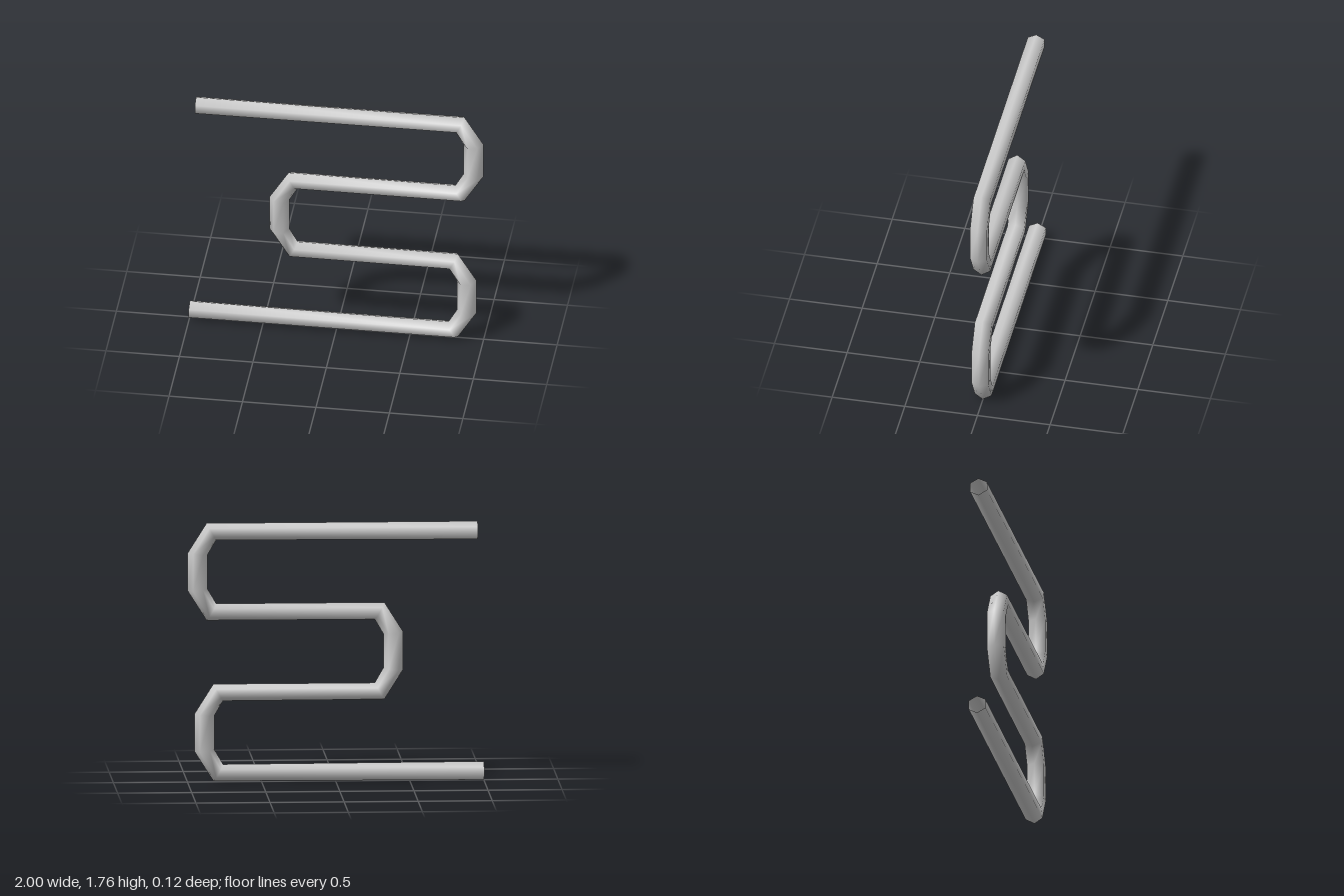
import * as THREE from 'three';

const HALF_DEPTH = 0.058;

// Mitred sections of the pipe: [outer x, outer y, inner x, inner y]
// One U-bend, from its upper run to its lower run; dir is +1 for right, -1 for left
function uBend(x, top, bottom, dir) {
  const section = (ox, oy, ix, iy) => {
    const outer = [x + dir * ox, oy], inner = [x + dir * ix, iy];
    return dir > 0 ? [...outer, ...inner] : [...inner, ...outer];
  };
  return [
    section(-0.127, top, -0.192, top - 0.115),
    section(0, top - 0.201, -0.134, top - 0.214),
    section(0, bottom + 0.201, -0.134, bottom + 0.214),
    section(-0.127, bottom, -0.192, bottom + 0.113),
  ];
}

// Open six-sided tube through the sections, smooth shaded
function hexPipe(sections) {
  const positions = [], index = [], sides = 6;
  for (const [ax, ay, bx, by] of sections) {
    for (let j = 0; j < sides; j++) {
      const angle = (j / sides) * Math.PI * 2;
      const t = (1 - Math.cos(angle)) / 2;
      const z = (Math.sin(angle) / Math.sin(Math.PI / 3)) * HALF_DEPTH;
      positions.push(ax + (bx - ax) * t, ay + (by - ay) * t, z);
    }
  }
  for (let i = 0; i < sections.length - 1; i++) {
    for (let j = 0; j < sides; j++) {
      const a = i * sides + j, b = i * sides + ((j + 1) % sides);
      index.push(a, b, b + sides, a, b + sides, a + sides);
    }
  }
  const geometry = new THREE.BufferGeometry();
  geometry.setAttribute('position', new THREE.Float32BufferAttribute(positions, 3));
  geometry.setIndex(index);
  geometry.computeVertexNormals();
  return geometry;
}

export function createModel() {
  const group = new THREE.Group();
  group.name = 'serpentinePipe';

  const sections = [
    [-0.958, 1.763, -0.958, 1.64], // upper open end
    ...uBend(0.998, 1.763, 1.102, 1),
    ...uBend(-0.456, 1.215, 0.555, -1),
    ...uBend(0.952, 0.668, 0.008, 1),
    [-1, 0.002, -1, 0.127].map((v, i) => (i === 1 ? 0.002 : v)), // lower open end
  ];
  // The lower run travels towards -x, so its left-hand edge is the bottom one
  const material = new THREE.MeshStandardMaterial({ color: 0xcccccc, side: THREE.DoubleSide });
  const pipe = new THREE.Mesh(hexPipe(sections), material);
  pipe.name = 'pipe';
  group.add(pipe);
  return group;
}
